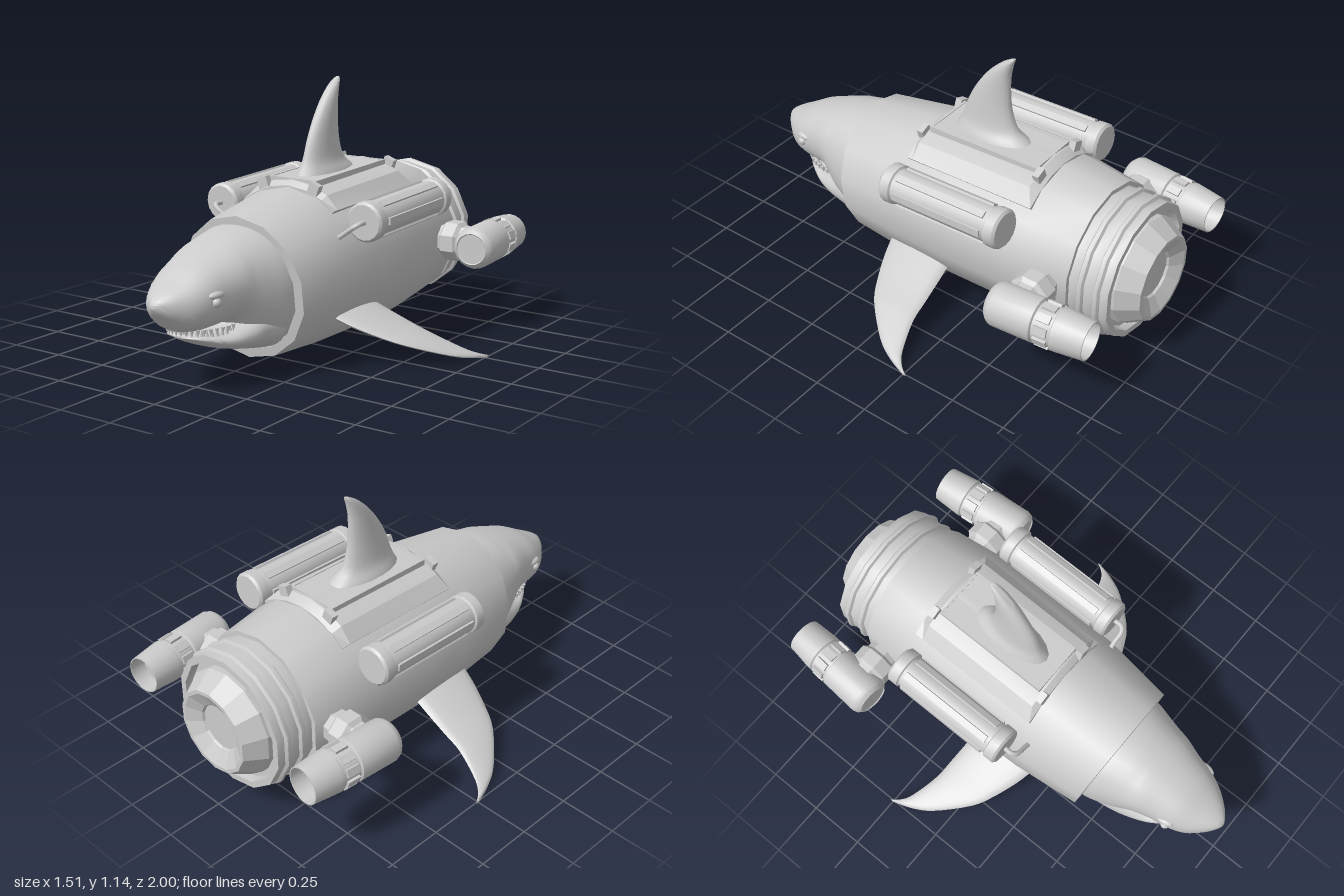
import * as THREE from 'three';
import { toCreasedNormals } from 'three/addons/utils/BufferGeometryUtils.js';

const material = new THREE.MeshStandardMaterial({ color: 0xcccccc });
const SIDES = 14;

function add(parent, name, geometry, x = 0, y = 0, z = 0) {
  const mesh = new THREE.Mesh(geometry, material);
  mesh.name = name;
  mesh.position.set(x, y, z);
  parent.add(mesh);
  return mesh;
}

// Skin over closed rings of points, capped at both ends and always facing outward
function loft(rings, crease = 0.5) {
  const n = rings[0].length, pos = [], index = [];
  rings.forEach(r => r.forEach(p => pos.push(...p)));
  for (let i = 0; i < rings.length - 1; i++)
    for (let j = 0; j < n; j++) {
      const a = i * n + j, b = i * n + (j + 1) % n;
      index.push(a, b, b + n, a, b + n, a + n);
    }
  [0, rings.length - 1].forEach(i => {
    const c = pos.length / 3;
    pos.push(...[0, 1, 2].map(k => rings[i].reduce((s, p) => s + p[k] / n, 0)));
    for (let j = 0; j < n; j++) {
      const a = i * n + j, b = i * n + (j + 1) % n;
      index.push(...(i ? [a, b, c] : [b, a, c]));
    }
  });
  const v = i => new THREE.Vector3().fromArray(pos, i * 3);
  let volume = 0;
  for (let i = 0; i < index.length; i += 3)
    volume += v(index[i]).dot(v(index[i + 1]).cross(v(index[i + 2])));
  if (volume < 0) index.reverse();
  const g = new THREE.BufferGeometry();
  g.setAttribute('position', new THREE.Float32BufferAttribute(pos, 3));
  g.setIndex(index);
  return toCreasedNormals(g, crease);
}

// Turned part along z; profile of [radius, z] running from back to front
function turned(profile, sides = SIDES, crease = 0.5) {
  const g = new THREE.LatheGeometry(profile.map(p => new THREE.Vector2(...p)), sides);
  return toCreasedNormals(g.rotateX(Math.PI / 2), crease);
}

// Fill in rows of numbers with a smooth spline
function refine(rows, steps) {
  const out = [];
  for (let i = 0; i < rows.length - 1; i++) {
    const [p, a, b, q] = [-1, 0, 1, 2].map(k => rows[Math.min(Math.max(i + k, 0), rows.length - 1)]);
    for (let s = 0; s < steps; s++) {
      const t = s / steps;
      out.push(a.map((_, k) => a[k] + 0.5 * t * (b[k] - p[k] + t * (2 * p[k] - 5 * a[k] + 4 * b[k] - q[k]
        + t * (3 * (a[k] - b[k]) + q[k] - p[k])))));
    }
  }
  return [...out, rows.at(-1)];
}

function ring(n, fn) {
  return Array.from({ length: n }, (_, i) => fn(Math.sin(i / n * 2 * Math.PI), Math.cos(i / n * 2 * Math.PI)));
}

// Rounded sections from rows of [z, top, bottom, half width]
function headLoft(rows) {
  const soft = v => Math.sign(v) * Math.abs(v) ** 0.9;
  return loft(refine(rows, 4).map(([z, t, b, w]) =>
    ring(28, (s, c) => [w * soft(s), (t + b) / 2 + (t - b) / 2 * soft(c), z])), 0.9);
}

// Lens-shaped fin from rows of [span, leading z, trailing z, half thickness, height]
function finLoft(rows, place) {
  return loft(refine(rows, 4).map(([s, lead, trail, thick, h = 0]) =>
    ring(18, (a, c) => place(s, h + thick * a, (lead + trail) / 2 + (lead - trail) / 2 * c))), 0.9);
}

function buildSide(s) {
  const side = new THREE.Group();
  side.name = s > 0 ? 'leftSide' : 'rightSide';

  add(side, 'pectoralFin', finLoft([
    [0.22, 0.2, -0.12, 0.03, 0.235], [0.34, 0.17, -0.13, 0.028, 0.185], [0.46, 0.12, -0.14, 0.021, 0.14],
    [0.56, 0.06, -0.15, 0.017, 0.105], [0.68, -0.07, -0.19, 0.012, 0.055], [0.73, -0.16, -0.225, 0.009, 0.033],
    [0.757, -0.245, -0.265, 0.006, 0.018]], (x, y, z) => [s * x, y, z]));

  // Side tank with end caps, long ribs and a bent feed pipe
  const tank = new THREE.Group();
  tank.name = 'sideTank';
  tank.position.set(s * 0.368, 0.618, -0.183);
  tank.rotation.x = 0.035;
  side.add(tank);
  add(tank, 'tankShell', turned([[0, -0.293], [0.075, -0.293], [0.085, -0.283], [0.085, -0.24], [0.076, -0.235],
    [0.076, 0.235], [0.085, 0.24], [0.085, 0.283], [0.075, 0.293], [0, 0.293]], 16));
  for (let i = 0; i < 6; i++) {
    const a = (i + 0.5) * Math.PI / 3;
    add(tank, 'tankRib', new THREE.BoxGeometry(0.03, 0.014, 0.44), 0.076 * Math.sin(a), 0.076 * Math.cos(a), 0)
      .rotation.z = -a;
  }
  const pipe = new THREE.CatmullRomCurve3([[0.37, 0.608, 0.1], [0.37, 0.608, 0.145], [0.355, 0.597, 0.16],
    [0.31, 0.565, 0.16], [0.26, 0.53, 0.16]].map(([x, y, z]) => new THREE.Vector3(s * x, y, z)));
  add(side, 'feedPipe', new THREE.TubeGeometry(pipe, 20, 0.011, 8));

  // Octagonal mount holding the booster
  const mount = turned([[0, -0.08], [0.07, -0.08], [0.075, -0.05], [0.092, -0.035], [0.092, 0.025],
    [0.075, 0.04], [0.07, 0.08], [0, 0.08]], 8, 0.3).rotateZ(Math.PI / 8).rotateY(Math.PI / 2);
  add(side, 'boosterMount', mount, s * 0.39, 0.4, -0.63);

  const booster = new THREE.Group();
  booster.name = 'booster';
  booster.position.set(s * 0.503, 0.395, -0.745);
  booster.rotation.y = s * 0.08;
  side.add(booster);
  add(booster, 'boosterShell', turned([[0, -0.15], [0.072, -0.15], [0.076, -0.22], [0.081, -0.22], [0.092, -0.1],
    [0.092, -0.085], [0.084, -0.08], [0.084, 0], [0.094, 0.005], [0.094, 0.185], [0.086, 0.205],
    [0.07, 0.22], [0.066, 0.215], [0, 0.215]], 20));
  for (let i = 0; i < 10; i++) {
    const a = i * Math.PI / 5;
    add(booster, 'boosterBlock', new THREE.BoxGeometry(0.034, 0.012, 0.06),
      0.087 * Math.sin(a), 0.087 * Math.cos(a), -0.04).rotation.z = -a;
  }

  add(side, 'eye', new THREE.SphereGeometry(0.02, 16, 12), s * 0.152, 0.393, 0.805);
  const brow = add(side, 'brow', new THREE.SphereGeometry(0.03, 16, 12), s * 0.142, 0.42, 0.79);
  brow.scale.set(0.8, 0.6, 1.6);
  return side;
}

export function createModel() {
  const model = new THREE.Group();
  model.name = 'sharkSubmarine';

  // Hull with a slanted collar and a recessed opening: [z, centre y, radius, slant]
  const hull = [[-0.735, 0.395, 0.32, 0], [-0.5, 0.395, 0.348, 0], [-0.1, 0.386, 0.35, 0], [0.13, 0.378, 0.342, 0],
    [0.442, 0.352, 0.305, 0.14], [0.444, 0.352, 0.265, 0.14], [0.35, 0.352, 0.26, 0.14]];
  add(model, 'hull', loft(hull.map(([z, cy, r, k]) =>
    ring(SIDES, (s, c) => [r * s, cy + r * c, z + k * r * c]))));

  // Tail section with two hoops, then the exhaust nozzle
  add(model, 'tailSection', turned([[0, -0.88], [0.265, -0.88], [0.27, -0.915], [0.298, -0.915], [0.3, -0.88],
    [0.312, -0.872], [0.312, -0.855], [0.3, -0.848], [0.3, -0.805], [0.312, -0.798], [0.312, -0.78],
    [0.3, -0.772], [0.3, -0.73]]), 0, 0.395, 0);
  add(model, 'exhaustNozzle', turned([[0, -0.955], [0.1, -0.955], [0.105, -0.965], [0.17, -1], [0.186, -1],
    [0.238, -0.91], [0.238, -0.87]], SIDES, 0.2), 0, 0.395, 0);

  // Saddle over the back, with chamfered rims
  const arc = grow => {
    const pts = [-41, -29, -15, 0, 15, 29, 41].map(d => [d, Math.abs(d) > 40 ? 0.355 : 0.352 + grow]);
    return [...pts, [41, 0.3], [0, 0.3], [-41, 0.3]].map(([d, r]) =>
      [r * Math.sin(d * Math.PI / 180), r * Math.cos(d * Math.PI / 180)]);
  };
  const saddle = [[0.125, 0.374, 0], [0.1, 0.375, 0.02], [-0.46, 0.393, 0.026], [-0.5, 0.394, 0]];
  add(model, 'saddle', loft(saddle.map(([z, cy, grow]) => arc(grow).map(([x, y]) => [x, y + cy, z])), 0.3));
  for (const [z, y] of [[0.115, 0.725], [-0.47, 0.753]])
    for (const s of [-1, 1])
      add(model, 'saddleCatch', new THREE.BoxGeometry(0.05, 0.045, 0.03), s * 0.13, y, z).rotation.z = -s * 0.35;

  // Hatch plate and frame around the dorsal fin
  const hatch = new THREE.Group();
  hatch.name = 'finHatch';
  hatch.position.set(0, 0.748, -0.18);
  hatch.rotation.x = 0.035;
  model.add(hatch);
  add(hatch, 'hatchPlate', new THREE.BoxGeometry(0.23, 0.04, 0.53), 0, -0.01, 0);
  for (const s of [-1, 1]) {
    add(hatch, 'frameLong', new THREE.BoxGeometry(0.01, 0.046, 0.54), s * 0.115, -0.01, 0);
    add(hatch, 'frameShort', new THREE.BoxGeometry(0.23, 0.046, 0.01), 0, -0.01, s * 0.265);
  }

  add(model, 'dorsalFin', finLoft([
    [0.735, 0.04, -0.36, 0.09], [0.765, 0.022, -0.33, 0.078], [0.81, 0, -0.272, 0.056], [0.89, -0.027, -0.242, 0.045],
    [0.97, -0.067, -0.232, 0.039], [1.05, -0.122, -0.231, 0.033], [1.11, -0.18, -0.241, 0.025],
    [1.14, -0.222, -0.25, 0.016], [1.152, -0.244, -0.253, 0.005]], (y, x, z) => [x, y, z]));

  // Head: snout and upper jaw, then the lower jaw
  add(model, 'head', headLoft([[1, 0.4, 0.385, 0.008], [0.985, 0.42, 0.362, 0.035], [0.95, 0.443, 0.325, 0.075],
    [0.89, 0.476, 0.277, 0.122], [0.82, 0.518, 0.262, 0.152], [0.74, 0.552, 0.262, 0.17], [0.66, 0.58, 0.262, 0.195],
    [0.61, 0.595, 0.2, 0.21], [0.55, 0.61, 0.138, 0.229], [0.45, 0.622, 0.107, 0.255], [0.34, 0.61, 0.1, 0.255]]));
  add(model, 'lowerJaw', headLoft([[0.845, 0.243, 0.236, 0.03], [0.82, 0.248, 0.225, 0.085], [0.76, 0.25, 0.193, 0.13],
    [0.7, 0.255, 0.17, 0.162], [0.62, 0.29, 0.147, 0.192], [0.55, 0.33, 0.13, 0.21], [0.45, 0.33, 0.11, 0.22]]));

  // Two curved rows of teeth
  for (const [name, y, reach, wide, flip] of [['upperTooth', 0.262, 0.865, 0.135, Math.PI], ['lowerTooth', 0.256, 0.825, 0.12, 0]])
    for (let i = 0; i < 21; i++) {
      const a = (i / 20 - 0.5) * Math.PI;
      add(model, name, new THREE.ConeGeometry(0.009, 0.032, 5), wide * Math.sin(a), y, 0.68 + (reach - 0.68) * Math.cos(a))
        .rotation.x = flip;
    }

  model.add(buildSide(1), buildSide(-1));
  return model;
}
